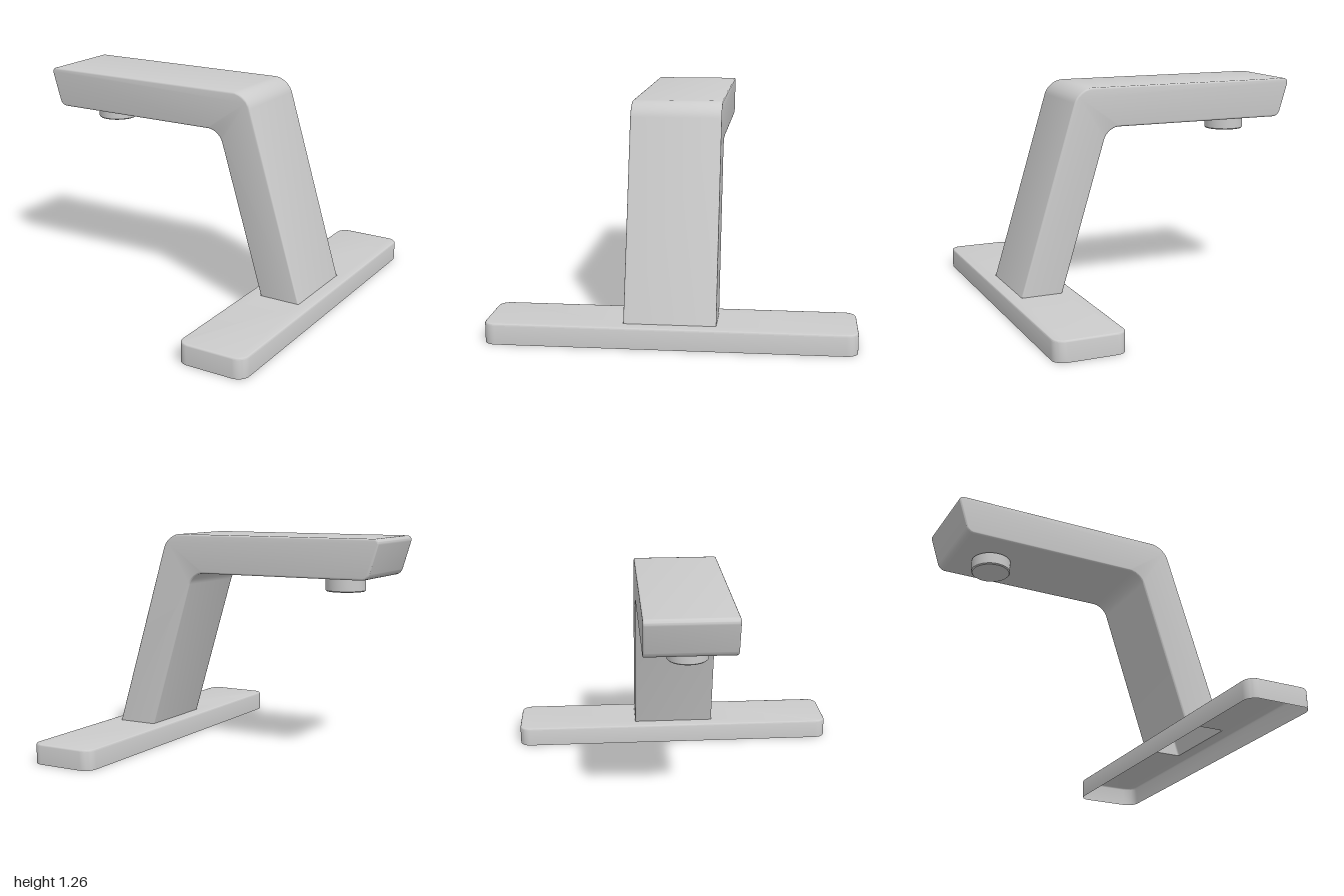
import * as THREE from 'three';
import { toCreasedNormals } from 'three/addons/utils/BufferGeometryUtils.js';

const BEVEL = 0.01;
const BASE_TOP = 0.115;
const SLOPE = -0.305; // sideways lean of the leg per unit of height
const material = new THREE.MeshStandardMaterial({ color: 0xcccccc, side: THREE.DoubleSide });

// Closed outline through corners [x, y, tangent length of the rounding]
function roundedShape(corners) {
  const shape = new THREE.Shape();
  const n = corners.length;
  corners.forEach(([x, y, t], i) => {
    const c = new THREE.Vector2(x, y);
    const toward = ([px, py]) => new THREE.Vector2(px, py).sub(c).normalize();
    const a = toward(corners[(i + n - 1) % n]);
    const b = toward(corners[(i + 1) % n]);
    const at = (dir, d) => c.clone().addScaledVector(dir, d);
    const start = at(a, t);
    if (i === 0) shape.moveTo(start.x, start.y);
    else shape.lineTo(start.x, start.y);
    if (t > 0) {
      const c1 = at(a, t * 0.45), c2 = at(b, t * 0.45), end = at(b, t);
      shape.bezierCurveTo(c1.x, c1.y, c2.x, c2.y, end.x, end.y);
    }
  });
  shape.closePath();
  return shape;
}

function bevelled(shape, depth) {
  return new THREE.ExtrudeGeometry(shape, {
    depth: depth - 2 * BEVEL, bevelSize: BEVEL, bevelThickness: BEVEL,
    bevelOffset: -BEVEL, bevelSegments: 3, curveSegments: 10,
  });
}

// Removes each triangle whose three corners all pass the test, leaving an open shell
function openShell(geometry, test) {
  const pos = geometry.attributes.position;
  const kept = [];
  for (let i = 0; i < pos.count; i += 3) {
    const tri = [0, 1, 2].map((k) => new THREE.Vector3().fromBufferAttribute(pos, i + k));
    if (!tri.every(test)) tri.forEach((v) => kept.push(v.x, v.y, v.z));
  }
  const shell = new THREE.BufferGeometry();
  shell.setAttribute('position', new THREE.Float32BufferAttribute(kept, 3));
  return toCreasedNormals(shell, 0.6);
}

function addMesh(group, name, geometry) {
  const mesh = new THREE.Mesh(geometry, material);
  mesh.name = name;
  group.add(mesh);
  return mesh;
}

// Hollow spout: leaning leg, bend and level arm, open where it meets the base
function spoutGeometry() {
  const low = 0.1;
  const legX = (x, y) => x + (y - BASE_TOP) * SLOPE;
  const shape = roundedShape([
    [legX(0.803, low), low, 0],
    [legX(0.803, 1.265), 1.265, 0.085],
    [-0.89, 1.265, 0.035],
    [-0.821, 1.04, 0.035],
    [legX(0.563, 1.04), 1.04, 0.07],
    [legX(0.563, low), low, 0],
  ]);
  const geometry = bevelled(shape, 0.5).translate(0, 0, -0.25 + BEVEL);
  // Trim the foot along its lean to sit flush on the base
  const pos = geometry.attributes.position;
  for (let i = 0; i < pos.count; i++) {
    const y = pos.getY(i);
    if (y < 0.13) pos.setXY(i, pos.getX(i) + (BASE_TOP - y) * SLOPE, BASE_TOP);
  }
  return openShell(geometry, (v) => v.y < BASE_TOP + 0.0001);
}

// Hollow base plate: open underneath, with an opening into the leg
function baseGeometry() {
  const r = 0.065;
  const shape = roundedShape([[0.483, -1, r], [0.88, -1, r], [0.88, 1, r], [0.483, 1, r]]);
  const x0 = 0.563 + BEVEL, x1 = 0.803 - BEVEL, z = 0.25 - BEVEL;
  const hole = new THREE.Path();
  hole.moveTo(x0, -z).lineTo(x0, z).lineTo(x1, z).lineTo(x1, -z).closePath();
  shape.holes.push(hole);
  const geometry = bevelled(shape, BASE_TOP + BEVEL).rotateX(-Math.PI / 2);
  const pos = geometry.attributes.position;
  for (let i = 0; i < pos.count; i++) pos.setY(i, Math.max(0, pos.getY(i)));
  const inHole = (v) => Math.abs(v.z) < 0.26 && v.x > 0.55 && v.x < 0.815;
  const underside = (v) => v.y < 0.0001;
  return openShell(openShell(geometry, underside), inHole);
}

// Round outlet under the arm
function outletGeometry() {
  const profile = [[0, 0], [0.108, 0], [0.114, 0.006], [0.114, 0.073], [0, 0.073]];
  const lathe = new THREE.LatheGeometry(profile.map(([x, y]) => new THREE.Vector2(x, y)), 40);
  return toCreasedNormals(lathe, 0.6);
}

export function createModel() {
  const group = new THREE.Group();
  group.name = 'tap';
  addMesh(group, 'base', baseGeometry());
  addMesh(group, 'spout', spoutGeometry());
  addMesh(group, 'outlet', outletGeometry()).position.set(-0.585, 0.955, 0);
  return group;
}
